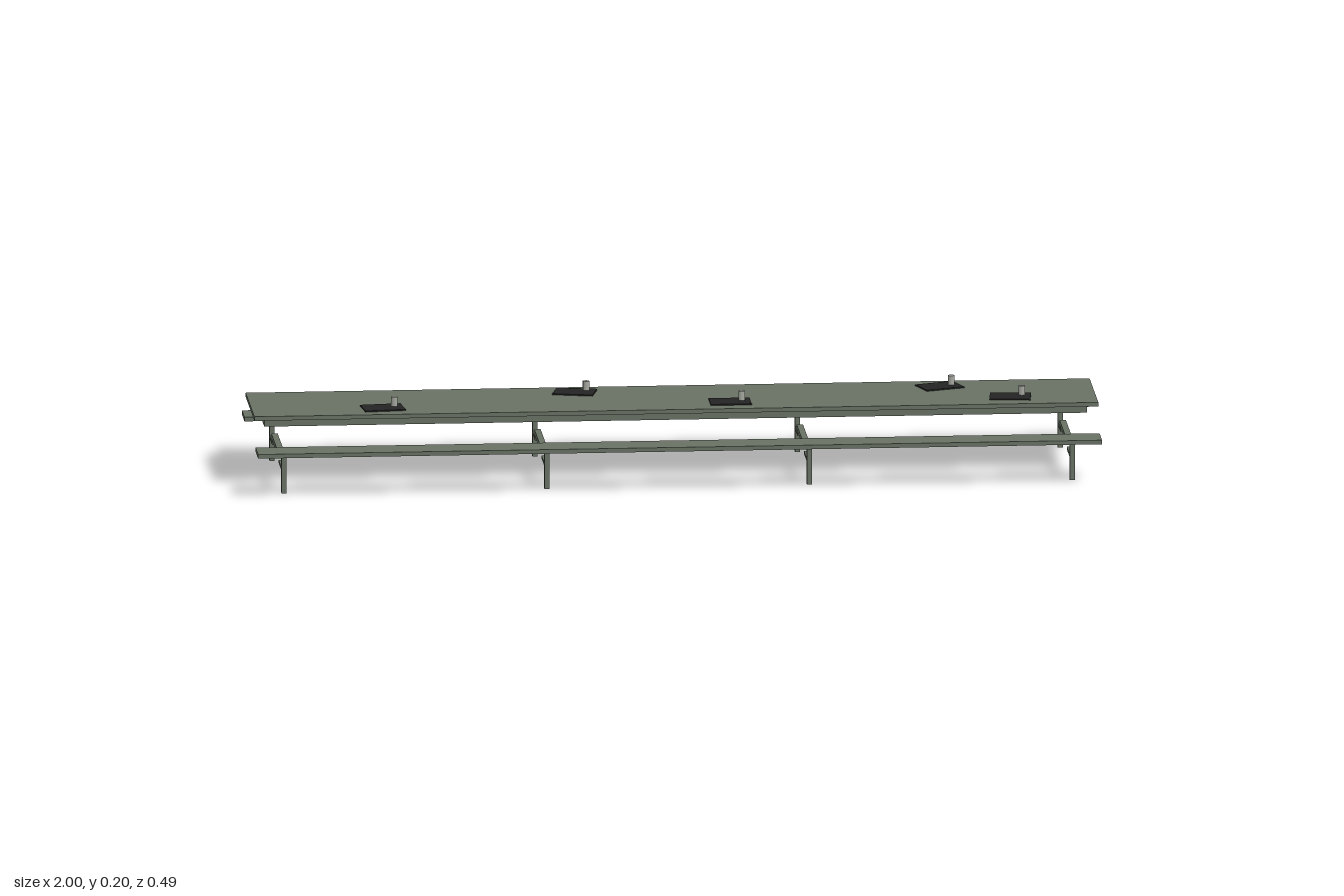
import * as THREE from 'three';

export function createModel() {
  const model = new THREE.Group();
  model.name = 'longTableWithBenches';

  const paint = new THREE.MeshStandardMaterial({ color: 0x687264 });
  paint.name = 'greyGreenPaint';
  const black = new THREE.MeshStandardMaterial({ color: 0x242424 });
  black.name = 'trayBlack';
  const metal = new THREE.MeshStandardMaterial({ color: 0xa6a8a0 });
  metal.name = 'cupGrey';

  // Box given by its limits on y and z, and its centre and width on x
  function box(name, parent, x, width, y0, y1, z0, z1, material = paint) {
    const mesh = new THREE.Mesh(new THREE.BoxGeometry(width, y1 - y0, Math.abs(z1 - z0)), material);
    mesh.position.set(x, (y0 + y1) / 2, (z0 + z1) / 2);
    mesh.name = name;
    parent.add(mesh);
  }

  // Table top and the slab under it
  box('tableTop', model, 0, 2, 0.165, 0.175, -0.132, 0.132);
  box('tableApron', model, 0, 1.95, 0.146, 0.165, -0.111, 0.111);

  // Benches on both sides
  for (const s of [-1, 1]) box('benchSeat', model, 0, 2, 0.098, 0.108, s * 0.167, s * 0.243);

  // Four support frames: legs, inner arms and a raised crossbar
  for (const x of [-0.934, -0.311, 0.311, 0.934]) {
    const frame = new THREE.Group();
    frame.name = 'supportFrame';
    for (const s of [-1, 1]) {
      box('benchLeg', frame, x, 0.012, 0, 0.098, s * 0.173, s * 0.185);
      box('benchArm', frame, x, 0.012, 0.055, 0.062, s * 0.097, s * 0.173);
    }
    box('crossbar', frame, x, 0.015, 0.07, 0.082, -0.1, 0.1);
    model.add(frame);
  }

  // Trays: x, z, turn; each carries one cup near its corner
  const trays = [
    [-0.69, 0.064, 0.11],
    [-0.225, -0.074, -0.24],
    [0.133, 0.061, 0],
    [0.64, -0.068, 0.34],
    [0.797, 0.057, -0.1],
  ];
  for (const [x, z, turn] of trays) {
    const tray = new THREE.Mesh(new THREE.BoxGeometry(0.097, 0.003, 0.069), black);
    tray.position.set(x, 0.1765, z);
    tray.rotation.y = turn;
    tray.name = 'tray';
    const cup = new THREE.Mesh(new THREE.CylinderGeometry(0.008, 0.008, 0.022, 10), metal);
    cup.position.set(x + 0.028, 0.189, z - 0.011);
    cup.name = 'cup';
    model.add(tray, cup);
  }
  return model;
}
